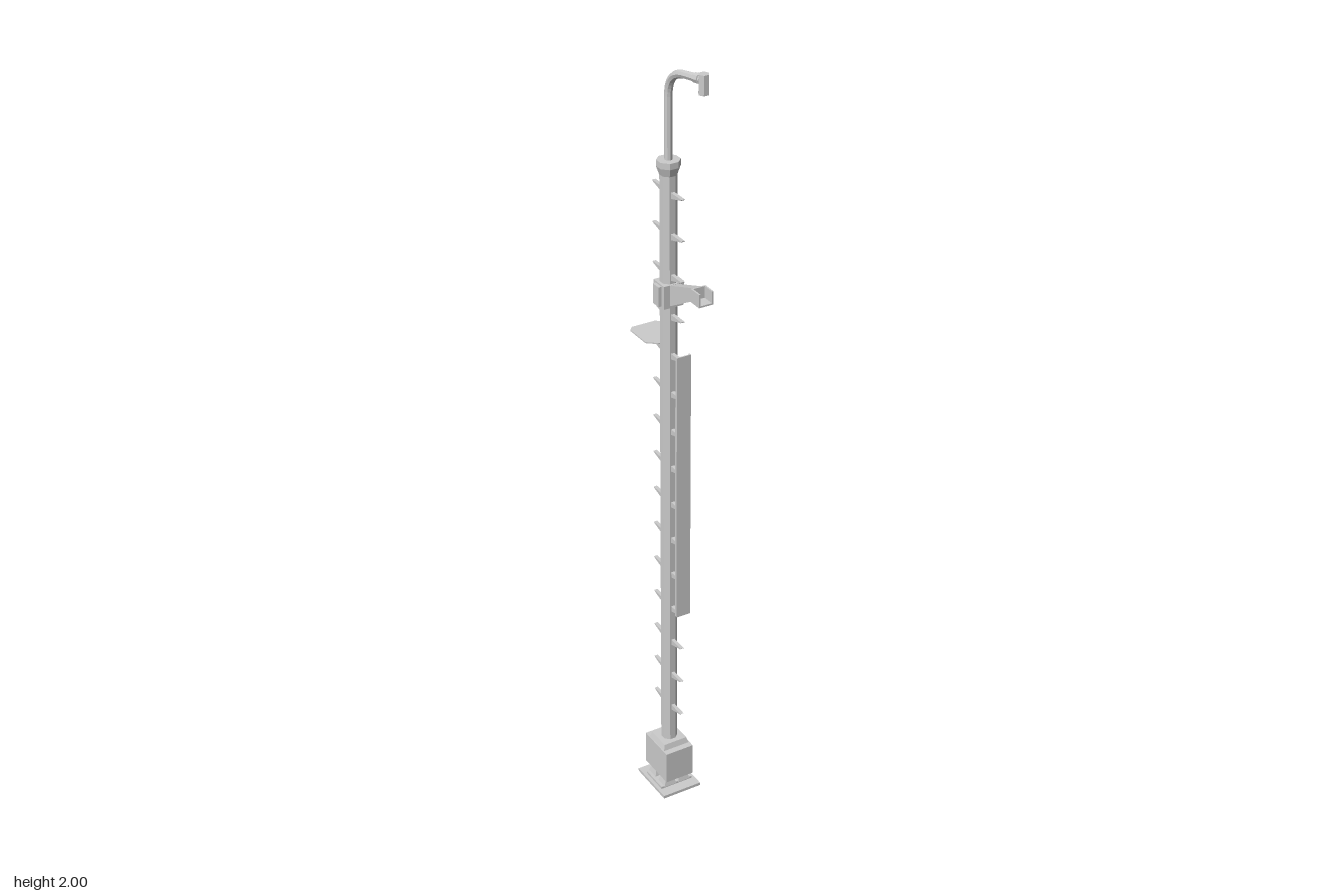
import * as THREE from 'three';

const PZ = -0.025; // z of the pole axis
const mat = new THREE.MeshStandardMaterial({ color: 0xcccccc, flatShading: true, side: THREE.DoubleSide });

export function createModel() {
  const model = new THREE.Group();
  model.name = 'utilityPole';

  const add = (name, geo, x = 0, y = 0, z = 0) => {
    const mesh = new THREE.Mesh(geo, mat);
    mesh.name = name;
    mesh.position.set(x, y, z);
    model.add(mesh);
    return mesh;
  };
  // box given by its bottom height
  const box = (name, w, h, d, x, y, z) => add(name, new THREE.BoxGeometry(w, h, d), x, y + h / 2, z);
  // eight-sided upright section with flats facing front and sides
  const octagon = (name, rTop, rBottom, y0, y1) => {
    const geo = new THREE.CylinderGeometry(rTop, rBottom, y1 - y0, 8).rotateY(Math.PI / 8);
    return add(name, geo, 0, (y0 + y1) / 2, PZ);
  };
  // side profile given as [z, y] points, extruded across x
  const profile = (name, points, width, x = 0) => {
    const shape = new THREE.Shape(points.map(([z, y]) => new THREE.Vector2(-z, y)));
    const geo = new THREE.ExtrudeGeometry(shape, { depth: width, bevelEnabled: false });
    geo.translate(0, 0, -width / 2).rotateY(Math.PI / 2);
    return add(name, geo, x);
  };

  // Base: plates, feet and block with a sloped top
  box('basePlate', 0.108, 0.008, 0.132, 0, 0, PZ);
  box('footPlate', 0.09, 0.006, 0.075, 0, 0.008, PZ);
  for (const sx of [-1, 1]) {
    for (const sz of [-1, 1]) {
      const foot = new THREE.CylinderGeometry(0.014, 0.024, 0.028, 4).rotateY(Math.PI / 4);
      add('baseFoot', foot, sx * 0.02, 0.027, PZ + sz * 0.024);
    }
  }
  box('baseBlock', 0.078, 0.09, 0.106, 0, 0.038, PZ);
  const cover = new THREE.CylinderGeometry(Math.SQRT1_2, Math.SQRT1_2 * 1.15, 0.016, 4).rotateY(Math.PI / 4);
  cover.scale(0.064, 1, 0.064);
  add('baseCover', cover, 0, 0.135, PZ);

  // Pole with flared cap
  octagon('pole', 0.0205, 0.0205, 0.12, 1.73);
  octagon('poleCapFlare', 0.028, 0.021, 1.715, 1.735);
  octagon('poleCap', 0.028, 0.028, 1.735, 1.75);

  // Climbing steps: flat on top, tapering outwards, one pair per level
  for (let i = 0; i < 15; i++) {
    const y = 0.253 + i * 0.1017;
    for (const s of [-1, 1]) {
      profile('climbingStep', [
        [PZ + s * 0.015, y], [PZ + s * 0.065, y],
        [PZ + s * 0.062, y - 0.003], [PZ + s * 0.015, y - 0.016],
      ], 0.009);
    }
  }

  // Long shallow channel in front of the steps
  box('frontPanel', 0.038, 0.725, 0.003, 0, 0.56, 0.043);
  for (const s of [-1, 1]) box('panelFlange', 0.003, 0.725, 0.007, s * 0.0175, 0.56, 0.041);

  // Thin platform at the back
  const plate = new THREE.Shape([
    [-0.018, 0.04], [0.018, 0.04], [0.042, 0.06], [0.042, 0.131],
    [0.032, 0.142], [-0.032, 0.142], [-0.042, 0.131], [-0.042, 0.06],
  ].map(([x, d]) => new THREE.Vector2(x, d)));
  const plateGeo = new THREE.ExtrudeGeometry(plate, { depth: 0.003, bevelEnabled: false });
  add('rearPlatform', plateGeo.rotateX(-Math.PI / 2), 0, 1.283, 0);

  // Clamp with side lugs, arm and open cradle
  box('clamp', 0.052, 0.058, 0.048, 0, 1.392, PZ);
  for (const s of [-1, 1]) box('clampLug', 0.008, 0.05, 0.026, s * 0.03, 1.396, PZ);
  profile('clampArm', [
    [-0.005, 1.448], [0.108, 1.49], [0.108, 1.459], [-0.005, 1.395],
  ], 0.02);
  box('cradleBack', 0.038, 0.033, 0.004, 0, 1.457, 0.107);
  box('cradleFloor', 0.038, 0.004, 0.036, 0, 1.457, 0.123);
  for (const s of [-1, 1]) box('cradleSide', 0.004, 0.033, 0.036, s * 0.017, 1.457, 0.123);

  // Bent lamp tube
  const path = new THREE.CurvePath();
  const v = (y, z) => new THREE.Vector3(0, y, z);
  path.add(new THREE.LineCurve3(v(1.74, PZ), v(1.9, PZ)));
  path.add(new THREE.CubicBezierCurve3(v(1.9, PZ), v(1.945, PZ), v(1.965, 0.005), v(1.973, 0.05)));
  path.add(new THREE.LineCurve3(v(1.973, 0.05), v(1.984, 0.115)));
  add('lampTube', new THREE.TubeGeometry(path, 32, 0.0095, 8));

  // Lamp head and its collar
  const collar = new THREE.CylinderGeometry(0.012, 0.012, 0.02, 8).rotateX(Math.PI / 2 - 0.16);
  add('lampCollar', collar, 0, 1.982, 0.1);
  add('lampHead', new THREE.CylinderGeometry(0.013, 0.013, 0.046, 6).rotateY(Math.PI / 6), 0, 1.977, 0.123);

  return model;
}
